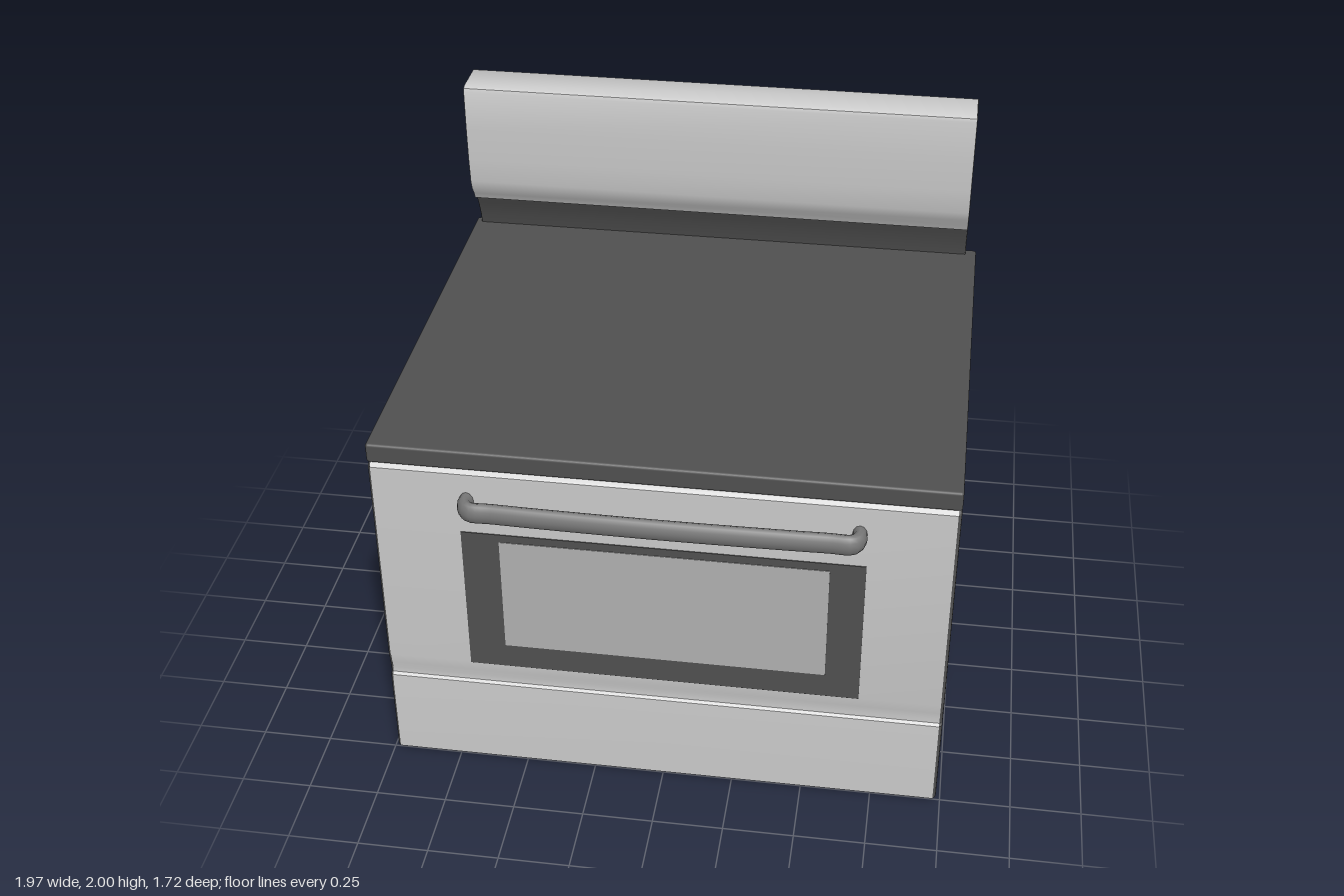
import * as THREE from 'three';
import { toCreasedNormals } from 'three/addons/utils/BufferGeometryUtils.js';
import { RoundedBoxGeometry } from 'three/addons/geometries/RoundedBoxGeometry.js';

const DARK = 0x505050, LIGHT = 0xcccccc, GLASS = 0xb0b0b0, METAL = 0x777777;

function part(name, geometry, color, side = THREE.FrontSide) {
  const mesh = new THREE.Mesh(geometry, new THREE.MeshStandardMaterial({ color, side }));
  mesh.name = name;
  return mesh;
}

// Side profile of [z, y] points, extruded from x0 to x1 with rounded ends
function extrudeAcross(profile, x0, x1, bevel) {
  const shape = new THREE.Shape(profile.map(([z, y]) => new THREE.Vector2(-z, y)));
  const geo = new THREE.ExtrudeGeometry(shape, {
    depth: x1 - x0 - 2 * bevel, bevelEnabled: true, bevelThickness: bevel,
    bevelSize: bevel, bevelOffset: -bevel, bevelSegments: 3,
  });
  geo.rotateY(Math.PI / 2).translate(x0 + bevel, 0, 0);
  return toCreasedNormals(geo, 0.6);
}

// Open sheet following [z, y] points from bottom to top, from x0 to x1
function sheet(profile, x0, x1) {
  const pos = [], index = [];
  profile.forEach(([z, y], i) => {
    pos.push(x0, y, z, x1, y, z);
    const a = 2 * i;
    if (i < profile.length - 1) index.push(a, a + 1, a + 3, a, a + 3, a + 2);
  });
  const geo = new THREE.BufferGeometry();
  geo.setAttribute('position', new THREE.Float32BufferAttribute(pos, 3));
  geo.setIndex(index);
  return toCreasedNormals(geo, 0.7);
}

export function createModel() {
  const group = new THREE.Group();

  // Cabinet, with the groove between drawer and door in its front edge
  const front = [
    [0.75, 0.005], [0.766, 0.02], [0.768, 0.3], [0.766, 0.362], [0.756, 0.37], [0.756, 0.39],
    [0.762, 0.42], [0.768, 0.46], [0.768, 1.27], [0.755, 1.285],
  ];
  const cabinet = [
    ...front, [-0.835, 1.285], [-0.852, 1.278], [-0.86, 1.26],
    [-0.86, 0.04], [-0.85, 0.015], [-0.83, 0.005], [0.5, 0],
  ];
  group.add(part('cabinet', extrudeAcross(cabinet, -0.985, 0.985, 0.014), DARK));

  // Light facing of drawer and oven door
  const facing = front.map(([z, y]) => [z + 0.002, y]);
  facing[0] = [0.758, 0.012];
  group.add(part('drawerFront', sheet(facing.slice(0, 5), -0.974, 0.974), LIGHT, THREE.DoubleSide));
  group.add(part('ovenDoor', sheet(facing.slice(4), -0.974, 0.974), LIGHT, THREE.DoubleSide));

  // Oven window
  const frame = part('windowFrame', new THREE.BoxGeometry(1.37, 0.575, 0.008), DARK);
  frame.position.set(0.005, 0.7475, 0.769);
  const pane = part('windowPane', new THREE.BoxGeometry(1.12, 0.45, 0.008), GLASS);
  pane.position.set(0.01, 0.78, 0.771);
  group.add(frame, pane);

  // Bowed door handle, taller than it is deep
  const half = [[0.655, 0.755], [0.657, 0.8], [0.638, 0.826], [0.56, 0.828], [0.4, 0.832]];
  const path = [
    ...half.map(([x, z]) => new THREE.Vector3(-x, 0, z)),
    new THREE.Vector3(0, 0, 0.836),
    ...half.reverse().map(([x, z]) => new THREE.Vector3(x, 0, z)),
  ];
  const handle = part('doorHandle',
    new THREE.TubeGeometry(new THREE.CatmullRomCurve3(path), 80, 0.025, 12), METAL);
  handle.scale.y = 1.5;
  handle.position.set(0.005, 1.162, 0);
  group.add(handle);

  // Cooktop slab
  const top = part('cooktop', new RoundedBoxGeometry(1.97, 0.072, 1.63, 3, 0.01), DARK);
  top.position.set(0, 1.324, -0.045);
  group.add(top);

  // Backguard, overhanging the cooktop
  const face = [
    [-0.735, 1.51], [-0.722, 1.535], [-0.697, 1.57], [-0.686, 1.605], [-0.677, 1.7],
    [-0.672, 1.83], [-0.671, 1.98], [-0.675, 1.993], [-0.688, 2], [-0.835, 2], [-0.848, 1.99],
  ];
  const guard = [
    [-0.85, 1.35], [-0.822, 1.35], [-0.81, 1.4], [-0.785, 1.46], [-0.763, 1.505],
    ...face.map(([z, y]) => [Math.min(z - 0.003, z), y - 0.002]), [-0.851, 1.97],
  ];
  group.add(part('backguard', extrudeAcross(guard, -0.96, 0.945, 0.003), DARK));
  group.add(part('backguardFacing', sheet(face, -0.958, 0.943), LIGHT, THREE.DoubleSide));

  return group;
}
